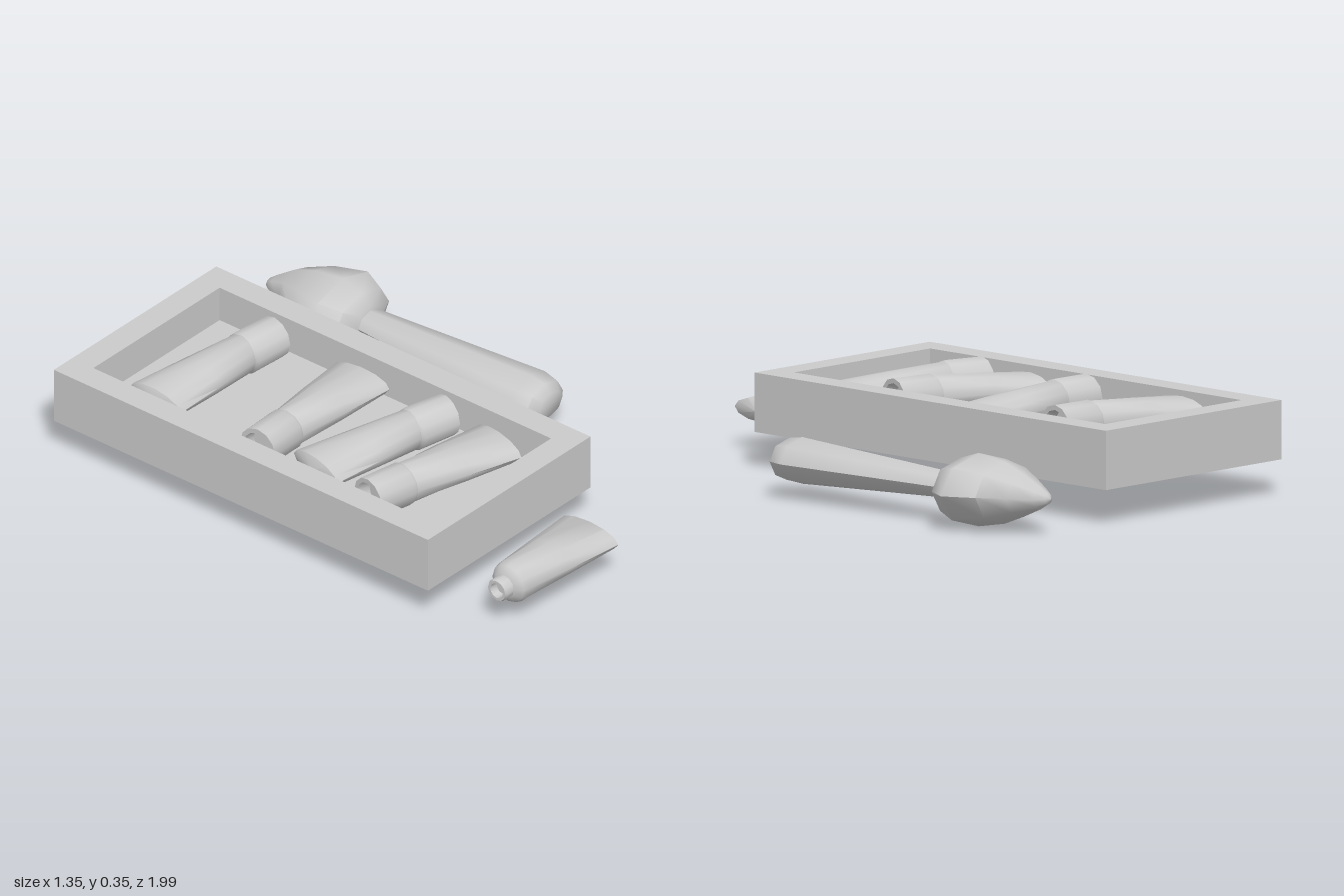
import * as THREE from 'three';
import { toCreasedNormals } from 'three/addons/utils/BufferGeometryUtils.js';

const material = new THREE.MeshStandardMaterial({ color: 0xcccccc });

function part(name, geometry, parent) {
  const mesh = new THREE.Mesh(geometry, material);
  mesh.name = name;
  parent.add(mesh);
  return mesh;
}

// Skin over elliptical sections along x: [x, radiusZ, radiusY, offsetZ, offsetY]
function loft(rings, sides, crease = 0.9) {
  const pos = [], index = [];
  for (const [x, rz, ry, cz = 0, cy = 0] of rings) {
    for (let j = 0; j < sides; j++) {
      const a = (j / sides) * Math.PI * 2;
      pos.push(x, cy + ry * Math.sin(a), cz + rz * Math.cos(a));
    }
  }
  for (let i = 0; i < rings.length - 1; i++) {
    for (let j = 0; j < sides; j++) {
      const k = (j + 1) % sides;
      const a = i * sides + j, b = a + sides, c = i * sides + k, d = c + sides;
      if (rings[i][1] > 0) index.push(a, b, c);
      if (rings[i + 1][1] > 0) index.push(b, d, c);
    }
  }
  const g = new THREE.BufferGeometry();
  g.setAttribute('position', new THREE.Float32BufferAttribute(pos, 3));
  g.setIndex(index);
  return toCreasedNormals(g, crease);
}

// Squeezed paint tube, crimped end at x = 0, pointing along +x
const crimp = [[-0.025, 0, 0], [0, 0.121, 0.042]];

function cappedTube(from, to, y) {
  const tube = new THREE.Group();
  tube.name = 'cappedPaintTube';
  const dx = to[0] - from[0], dz = to[1] - from[1];
  const L = Math.hypot(dx, dz), s = L - 0.155;
  part('tubeBody', loft([...crimp, [s * 0.5, 0.098, 0.06], [s, 0.07, 0.073], [s + 0.02, 0.06, 0.06]], 12), tube);
  // Cap with a recessed end
  part('tubeCap', loft([
    [s - 0.005, 0, 0], [s - 0.005, 0.071, 0.071], [s + 0.008, 0.077, 0.077],
    [L, 0.075, 0.075], [L, 0.058, 0.058], [L - 0.05, 0.055, 0.055], [L - 0.05, 0, 0],
  ], 12), tube);
  tube.position.set(from[0], y, from[1]);
  tube.rotation.y = Math.atan2(-dz, dx);
  return tube;
}

function openTube() {
  const tube = new THREE.Group();
  tube.name = 'openPaintTube';
  part('tubeBody', loft([
    [-0.03, 0, 0], [0, 0.128, 0.042], [0.21, 0.102, 0.06], [0.4, 0.077, 0.077],
    [0.425, 0.07, 0.07], [0.445, 0.045, 0.045], [0.445, 0, 0],
  ], 12), tube);
  // Hollow threaded neck
  part('tubeNeck', loft([
    [0.44, 0.042, 0.042], [0.478, 0.042, 0.042], [0.486, 0.038, 0.038],
    [0.486, 0.028, 0.028], [0.455, 0.026, 0.026], [0.455, 0, 0],
  ], 12), tube);
  tube.position.set(-0.063, 0.146, 0.866);
  tube.rotation.y = Math.PI;
  return tube;
}

function brush() {
  const group = new THREE.Group();
  group.name = 'brush';
  part('brushHandle', loft([
    [-0.232, 0, 0], [-0.232, 0.06, 0.045], [-0.205, 0.095, 0.07], [-0.14, 0.111, 0.08],
    [0.2, 0.087, 0.063], [0.565, 0.062, 0.045], [0.6, 0.055, 0.04],
  ], 8), group);
  // Bristles swell, then draw to an off-centre tip
  part('brushBristles', loft([
    [0.57, 0, 0], [0.57, 0.065, 0.06], [0.605, 0.142, 0.1], [0.69, 0.186, 0.126],
    [0.81, 0.143, 0.106, -0.002, 0.003], [0.9, 0.09, 0.072, -0.004, 0.004],
    [0.965, 0.043, 0.036, -0.02, 0], [0.99, 0.02, 0.018, -0.028, 0], [1.0, 0, 0, -0.03, 0],
  ], 8), group);
  group.position.set(0.485, 0.13, 0);
  group.rotation.y = Math.PI / 2;
  return group;
}

function rect(PathType, x0, x1, z0, z1) {
  const p = new PathType();
  p.moveTo(x0, -z1).lineTo(x1, -z1).lineTo(x1, -z0).lineTo(x0, -z0).closePath();
  return p;
}

function tray() {
  const group = new THREE.Group();
  group.name = 'tray';
  const shape = rect(THREE.Shape, -0.675, 0.177, -0.99, 0.668);
  shape.holes.push(rect(THREE.Path, -0.58, 0.082, -0.895, 0.574));
  const frame = new THREE.ExtrudeGeometry(shape, { depth: 0.204, bevelEnabled: false });
  frame.rotateX(-Math.PI / 2);
  part('trayFrame', frame, group).position.y = 0.126;
  part('trayFloor', new THREE.BoxGeometry(0.662, 0.074, 1.469), group).position.set(-0.249, 0.163, -0.1605);
  return group;
}

export function createModel() {
  const model = new THREE.Group();
  model.name = 'paintSet';
  model.add(tray(), brush(), openTube());
  // Tubes lying in the tray: crimped end, cap end, height of the axis
  const tubes = [
    [[-0.535, -0.657], [0.03, -0.607], 0.279],
    [[0.033, -0.225], [-0.533, -0.207], 0.269],
    [[-0.515, 0.035], [0.03, 0.155], 0.279],
    [[0.022, 0.395], [-0.533, 0.283], 0.269],
  ];
  for (const t of tubes) model.add(cappedTube(...t));
  return model;
}
